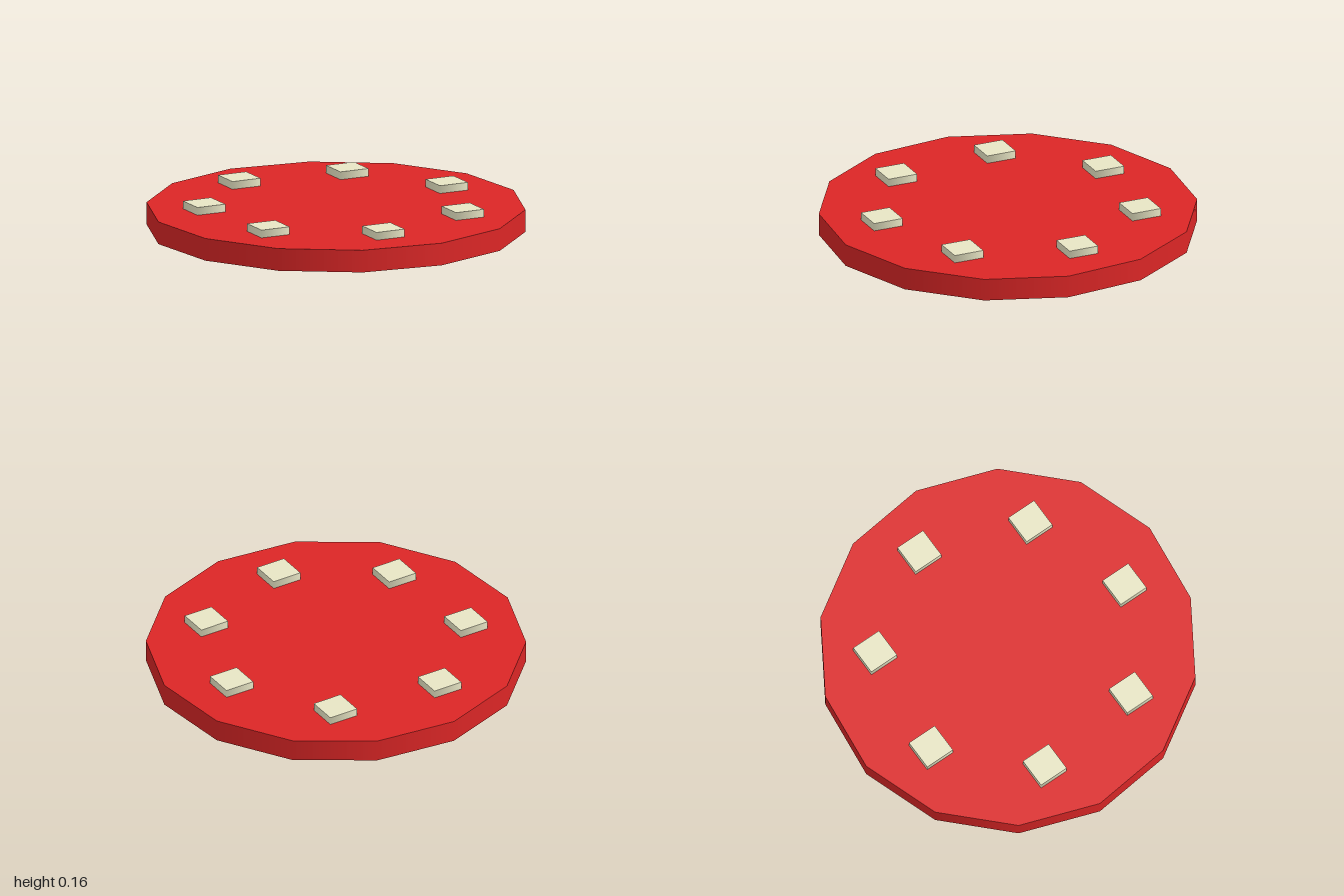
import * as THREE from 'three';

const SIDES = 14, STUDS = 7;

export function createModel() {
  const model = new THREE.Group();
  model.name = 'studdedDisc';
  const red = new THREE.MeshStandardMaterial({ color: 0xdc2626 });
  const cream = new THREE.MeshStandardMaterial({ color: 0xe8e6c5 });

  // Flat fourteen-sided disc
  const disc = new THREE.Mesh(new THREE.CylinderGeometry(1, 1, 0.12, SIDES), red);
  disc.name = 'disc';
  disc.position.y = 0.06;
  model.add(disc);

  // Ring of diamond studs, all turned the same way, set into the disc
  const bottom = 0.002, top = 0.162;
  const studGeometry = new THREE.CylinderGeometry(0.117, 0.117, top - bottom, 4);
  for (let i = 0; i < STUDS; i++) {
    const angle = (i / STUDS) * Math.PI * 2;
    const stud = new THREE.Mesh(studGeometry, cream);
    stud.name = `stud${i + 1}`;
    stud.position.set(0.7 * Math.cos(angle), (top + bottom) / 2, 0.7 * Math.sin(angle));
    model.add(stud);
  }
  return model;
}
